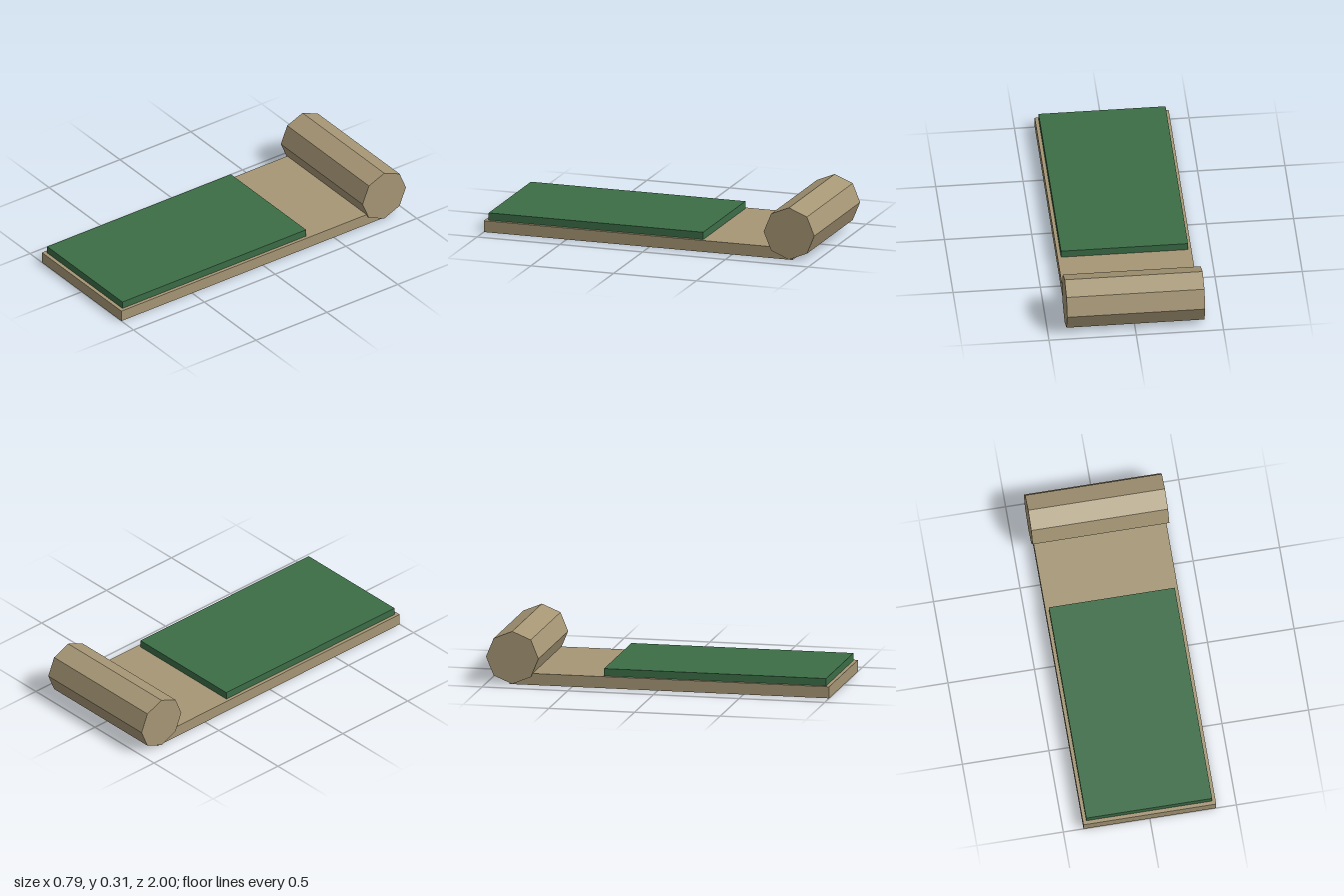
import * as THREE from 'three';

const canvas = new THREE.MeshStandardMaterial({ color: 0xa69675 });
canvas.name = 'tan canvas';
const green = new THREE.MeshStandardMaterial({ color: 0x3b6d46 });
green.name = 'green blanket';

// Box given by its width, centred on x, and its y and z ranges
function slab(name, material, width, y0, y1, z0, z1) {
  const mesh = new THREE.Mesh(new THREE.BoxGeometry(width, y1 - y0, z1 - z0), material);
  mesh.name = name;
  mesh.position.set(0, (y0 + y1) / 2, (z0 + z1) / 2);
  return mesh;
}

export function createModel() {
  const bedroll = new THREE.Group();
  bedroll.name = 'bedroll';

  // Flat mat and the blanket lying on it
  bedroll.add(slab('mat', canvas, 0.767, 0, 0.067, -0.865, 1));
  bedroll.add(slab('blanket', green, 0.727, 0.067, 0.11, -0.318, 0.978));

  // Eight-sided rolled end, used as a pillow, with corners at top and bottom
  const rollGeometry = new THREE.CylinderGeometry(0.153, 0.153, 0.79, 8)
    .rotateZ(Math.PI / 2)
    .toNonIndexed();
  rollGeometry.computeVertexNormals();
  const roll = new THREE.Mesh(rollGeometry, canvas);
  roll.name = 'pillowRoll';
  roll.position.set(0, 0.156, -0.847);
  bedroll.add(roll);

  return bedroll;
}
